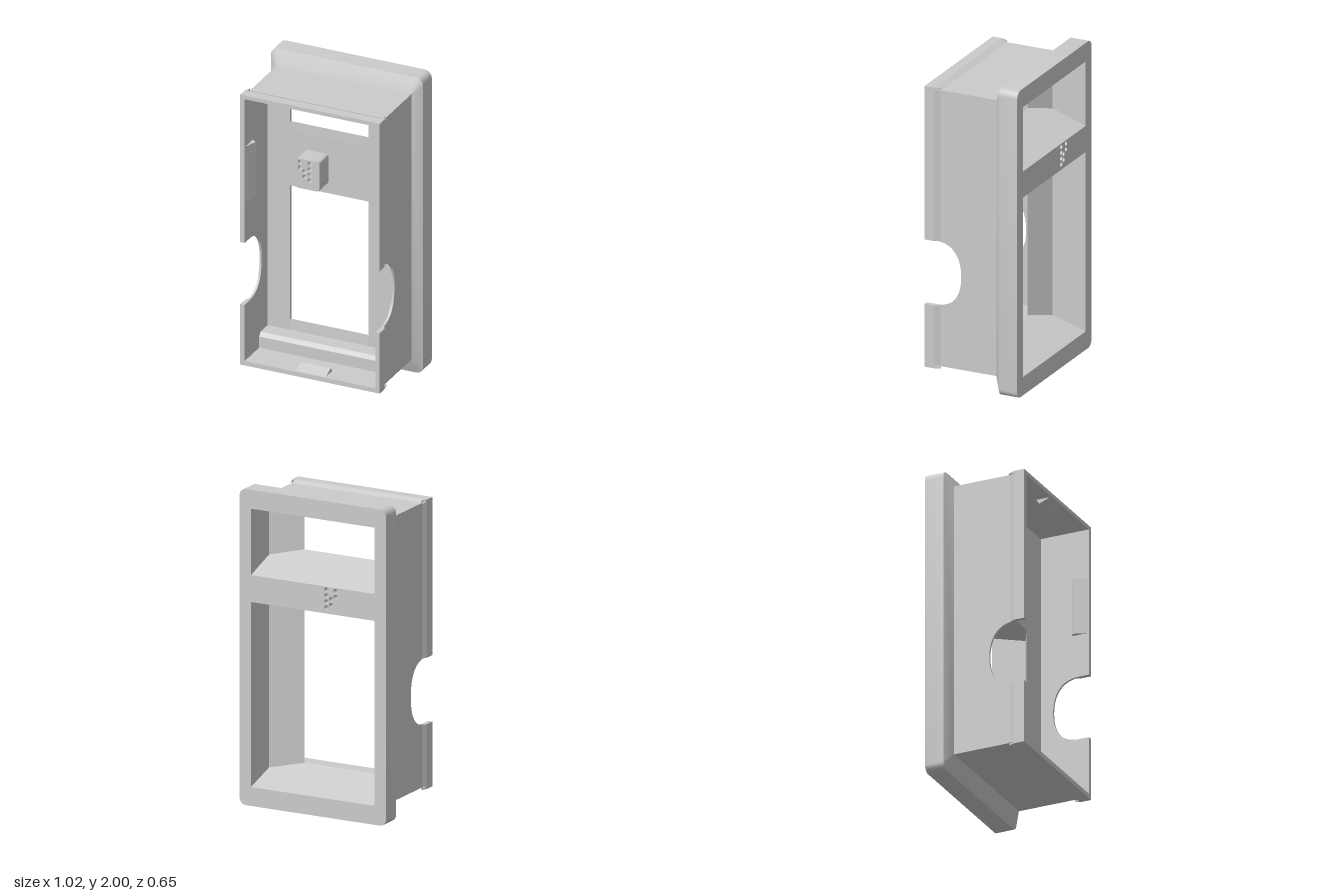
import * as THREE from 'three';
import { toCreasedNormals } from 'three/addons/utils/BufferGeometryUtils.js';

const grey = new THREE.MeshStandardMaterial({ color: 0xcccccc });
const greyDouble = new THREE.MeshStandardMaterial({ color: 0xcccccc, side: THREE.DoubleSide });
const V = (x, y) => new THREE.Vector2(x, y);

// Counter-clockwise rectangle outline with rounded corners
function roundRect(x0, x1, y0, y1, r, n = 6) {
  const pts = [];
  const corners = [[x1 - r, y0 + r], [x1 - r, y1 - r], [x0 + r, y1 - r], [x0 + r, y0 + r]];
  corners.forEach(([cx, cy], k) => {
    for (let i = 0; i <= n; i++) {
      const a = (k - 1 + i / n) * Math.PI / 2;
      pts.push(V(cx + r * Math.cos(a), cy + r * Math.sin(a)));
    }
  });
  return pts;
}
const rect = (x0, x1, y0, y1) => [V(x0, y0), V(x1, y0), V(x1, y1), V(x0, y1)];

// Skin between closed outlines stacked along z; inward turns the faces around
function loft(sections, inward = false) {
  const pos = [];
  for (let s = 0; s < sections.length - 1; s++) {
    const [A, B] = [sections[s], sections[s + 1]];
    const n = A.pts.length;
    for (let i = 0; i < n; i++) {
      const j = (i + 1) % n;
      const a = [A.pts[i].x, A.pts[i].y, A.z], b = [A.pts[j].x, A.pts[j].y, A.z];
      const c = [B.pts[j].x, B.pts[j].y, B.z], d = [B.pts[i].x, B.pts[i].y, B.z];
      const order = inward ? [a, c, b, a, d, c] : [a, b, c, a, c, d];
      order.forEach(p => pos.push(...p));
    }
  }
  const g = new THREE.BufferGeometry();
  g.setAttribute('position', new THREE.Float32BufferAttribute(pos, 3));
  return toCreasedNormals(g, 0.5);
}

function extrude(shape, depth) {
  return new THREE.ExtrudeGeometry(shape, { depth, bevelEnabled: false, curveSegments: 16 });
}
// Prism along x from a (z, y) profile
function prismX(shape, x0, x1) {
  return extrude(shape, x1 - x0).rotateY(-Math.PI / 2).translate(x1, 0, 0);
}
// Prism along y from an (x, z) profile
function prismY(profile, y0, y1) {
  return extrude(new THREE.Shape(profile.map(([x, z]) => V(x, -z))), y1 - y0)
    .rotateX(-Math.PI / 2).translate(0, y0, 0);
}
const zyShape = profile => new THREE.Shape(profile.map(([z, y]) => V(z, y)));

const BACK = -0.325, FLOOR = 0, FRONT = 0.325, KNEE = -0.1;
// Windows: y range at the back and at the floor
const windows = [
  { name: 'lowerWindow', back: [0.12, 1.29], front: [0.22, 1.2] },
  { name: 'upperWindow', back: [1.46, 1.88], front: [1.57, 1.85] },
];
const speakerHoles = [[-0.16, 1.44], [-0.095, 1.44], [-0.16, 1.403], [-0.095, 1.403],
  [-0.128, 1.384], [-0.095, 1.365], [-0.128, 1.346], [-0.095, 1.327]];
const HOLE_R = 0.015;

function addSpeakerHoles(shape) {
  for (const [x, y] of speakerHoles) {
    shape.holes.push(new THREE.Path().absarc(x, y, HOLE_R, 0, Math.PI * 2, true));
  }
  return shape;
}

export function createModel() {
  const group = new THREE.Group();
  const add = (name, geometry, material = grey) => {
    const mesh = new THREE.Mesh(geometry, material);
    mesh.name = name;
    group.add(mesh);
  };

  // Bezel: rounded outer edge, chamfered down to the body
  const bezelOutline = roundRect(-0.512, 0.512, 0, 2, 0.045);
  add('bezelEdge', loft([
    { z: BACK, pts: bezelOutline },
    { z: -0.2, pts: bezelOutline },
    { z: -0.155, pts: roundRect(-0.455, 0.455, 0.105, 1.905, 0.004) },
  ]));

  // Back face and inner floor, both pierced by windows and speaker holes
  const backFace = new THREE.Shape(bezelOutline);
  const floor = new THREE.Shape(rect(-0.445, 0.445, 0.115, 1.9));
  for (const w of windows) {
    backFace.holes.push(new THREE.Path(rect(-0.432, 0.432, ...w.back)));
    floor.holes.push(new THREE.Path(rect(-0.29, 0.24, ...w.front)));
  }
  add('bezelFace', new THREE.ShapeGeometry(addSpeakerHoles(backFace)).translate(0, 0, BACK), greyDouble);
  add('floor', new THREE.ShapeGeometry(addSpeakerHoles(floor)).translate(0, 0, FLOOR), greyDouble);

  // Window funnels: straight sides, then tapering to the floor opening
  for (const w of windows) {
    const t = (KNEE - BACK) / (FLOOR - BACK);
    const knee = w.back.map((y, i) => y + (w.front[i] - y) * t);
    add(w.name + 'Funnel', loft([
      { z: BACK, pts: rect(-0.432, 0.432, ...w.back) },
      { z: KNEE, pts: rect(-0.432, 0.432, ...knee) },
      { z: FLOOR, pts: rect(-0.29, 0.24, ...w.front) },
    ], true));
  }

  // Speaker block with its hole channels
  const block = addSpeakerHoles(new THREE.Shape(roundRect(-0.185, -0.03, 1.265, 1.465, 0.015)));
  add('speakerBlock', toCreasedNormals(extrude(block, 0.13), 0.6));
  for (const [x, y] of speakerHoles) {
    add('speakerHole', new THREE.CylinderGeometry(HOLE_R, HOLE_R, FLOOR - BACK, 24, 1, true)
      .rotateX(Math.PI / 2).translate(x, y, (BACK + FLOOR) / 2), greyDouble);
  }

  // Side walls with an arched finger notch
  const wall = new THREE.Shape();
  wall.moveTo(-0.156, 0.105);
  wall.lineTo(FRONT, 0.105);
  wall.lineTo(FRONT, 0.5);
  wall.lineTo(0.26, 0.5);
  wall.bezierCurveTo(0.14, 0.5, 0.083, 0.58, 0.083, 0.71);
  wall.bezierCurveTo(0.083, 0.84, 0.14, 0.92, 0.26, 0.92);
  wall.lineTo(FRONT, 0.92);
  wall.lineTo(FRONT, 1.905);
  wall.lineTo(-0.156, 1.905);
  for (const s of [-1, 1]) {
    const x = 0.4475 * s;
    add('sideWall', toCreasedNormals(prismX(wall, x - 0.0075, x + 0.0075), 0.5));
    // Flared rim, interrupted by the notch
    const rim = [[0.454 * s, 0.22], [0.47 * s, 0.26], [0.47 * s, FRONT], [0.454 * s, FRONT]];
    add('sideRim', prismY(rim, 0.09, 0.5));
    add('sideRim', prismY(rim, 0.92, 1.92));
    // Side snap tab
    add('sideTab', prismY([[0.441 * s, 0.32], [0.41 * s, 0.23], [0.441 * s, 0.21]], 1.2, 1.57));
  }

  // End walls, rims and snap clips: outer, inner and rim heights
  const ends = [
    { name: 'bottom', outer: 0.105, inner: 0.12, rim: 0.09, tip: 0.148, half: 0.1 },
    { name: 'top', outer: 1.905, inner: 1.895, rim: 1.92, tip: 1.865, half: 0.082 },
  ];
  for (const e of ends) {
    add(e.name + 'Wall', prismX(zyShape([[-0.156, e.outer], [FRONT, e.outer],
      [FRONT, e.inner], [-0.156, e.inner]]), -0.455, 0.455));
    add(e.name + 'Rim', prismX(zyShape([[0.22, e.outer], [0.26, e.rim],
      [FRONT, e.rim], [FRONT, e.outer]]), -0.47, 0.47));
    add(e.name + 'Clip', prismX(zyShape([[0.31, e.inner], [0.24, e.tip], [0.22, e.inner]]),
      -e.half, e.half));
  }

  // Ledge inside the bottom
  add('bottomLedge', prismX(zyShape([[FLOOR, 0.12], [0.12, 0.12], [0.12, 0.195],
    [0.1, 0.22], [FLOOR, 0.22]]), -0.441, 0.441));

  return group;
}
